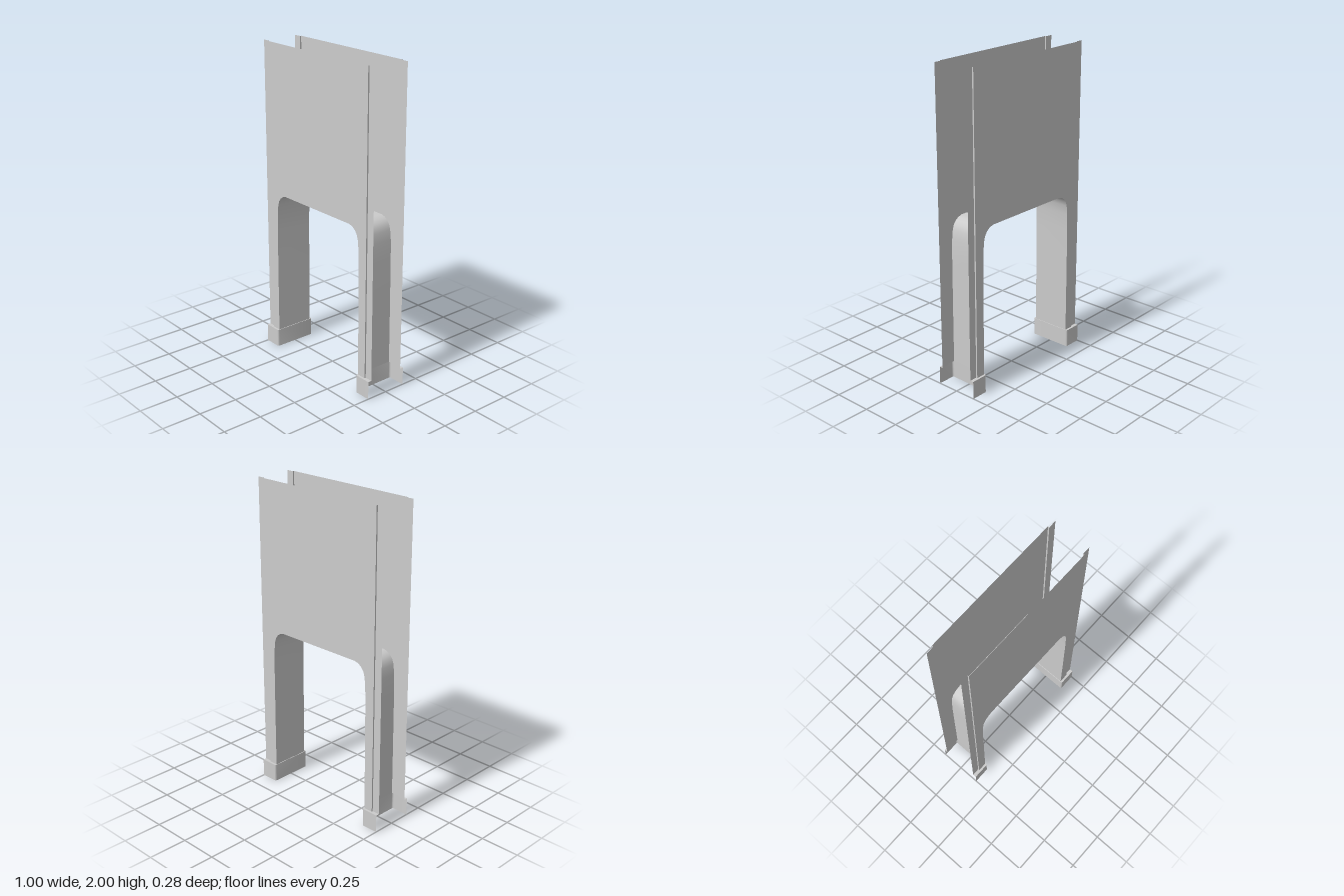
import * as THREE from 'three';
import { toCreasedNormals } from 'three/addons/utils/BufferGeometryUtils.js';

const material = new THREE.MeshStandardMaterial({ color: 0xcccccc, side: THREE.DoubleSide });
const PANEL_Z = 0.126, STRIP_Z = 0.117, FOOT_Z = 0.14, FOOT_H = 0.115, TOP = 2;

// Thin sheet: sweeps a 2D path between two levels; place(a, b, level) gives the 3D point
function sheet(path, from, to, place) {
  const pos = [], index = [];
  path.forEach(([a, b], i) => {
    pos.push(...place(a, b, from), ...place(a, b, to));
    if (i) {
      const k = 2 * i;
      index.push(k - 2, k, k - 1, k - 1, k, k + 1);
    }
  });
  const g = new THREE.BufferGeometry();
  g.setAttribute('position', new THREE.Float32BufferAttribute(pos, 3));
  g.setIndex(index);
  return toCreasedNormals(g, 0.7);
}
const upright = (x, z, y) => [x, y, z];
const through = (x, y, z) => [x, y, z];
const toShape = (pts) => new THREE.Shape(pts.map(([a, b]) => new THREE.Vector2(a, b)));

export function createModel() {
  const model = new THREE.Group();
  const add = (name, geometry) => {
    const mesh = new THREE.Mesh(geometry, material);
    mesh.name = name;
    model.add(mesh);
  };

  // Outline of the arched opening, right half then mirrored
  const half = [[0.39, FOOT_H], [0.389, 0.45], [0.387, 0.8], [0.384, 0.92], [0.377, 0.98],
    [0.367, 1.01], [0.35, 1.032], [0.328, 1.047], [0.3, 1.055]];
  const opening = [...half, ...half.map(([x, y]) => [-x, y]).reverse()];

  // Lining of the opening, joining the two panels
  add('openingLining', sheet(opening, -PANEL_Z, PANEL_Z, through));

  // Front and back panels with recessed edge strips
  for (const s of [1, -1]) {
    const face = s > 0 ? 'front' : 'back';
    const panel = new THREE.ShapeGeometry(toShape(
      [[0.45, FOOT_H], [0.45, TOP], [-0.45, TOP], [-0.45, FOOT_H], ...[...opening].reverse()]));
    if (s < 0) panel.rotateY(Math.PI);
    panel.translate(0, 0, s * PANEL_Z);
    add(face + 'Panel', panel);
    for (const m of [1, -1]) {
      const path = [[0.45, PANEL_Z], [0.45, STRIP_Z], [0.5, STRIP_Z]].map(([x, z]) => [m * x, s * z]);
      add(face + (m > 0 ? 'Left' : 'Right') + 'EdgeStrip', sheet(path, FOOT_H, TOP, upright));
    }
  }

  // Channel-shaped feet, open to the outside, with a narrow ledge on top
  const corner = [];
  for (let i = 0; i <= 4; i++) {
    const t = (i / 4) * Math.PI / 2;
    corner.push([0.396 - 0.01 * Math.sin(t), FOOT_Z - 0.01 + 0.01 * Math.cos(t)]);
  }
  const mirrorZ = (pts) => [...pts, ...pts.map(([x, z]) => [x, -z]).reverse()];
  const outer = mirrorZ([[0.5, FOOT_Z], ...corner]);
  const inner = mirrorZ([[0.5, STRIP_Z], [0.45, STRIP_Z], [0.45, PANEL_Z], [0.39, PANEL_Z]]);
  for (const m of [1, -1]) {
    const side = m > 0 ? 'left' : 'right';
    const flip = (pts) => pts.map(([x, z]) => [m * x, z]);
    add(side + 'Foot', sheet(flip(outer), 0, FOOT_H, upright));
    const ledge = new THREE.ShapeGeometry(toShape(flip([...outer, ...[...inner].reverse()])));
    ledge.rotateX(-Math.PI / 2).translate(0, FOOT_H, 0);
    add(side + 'FootLedge', ledge);
  }
  return model;
}
